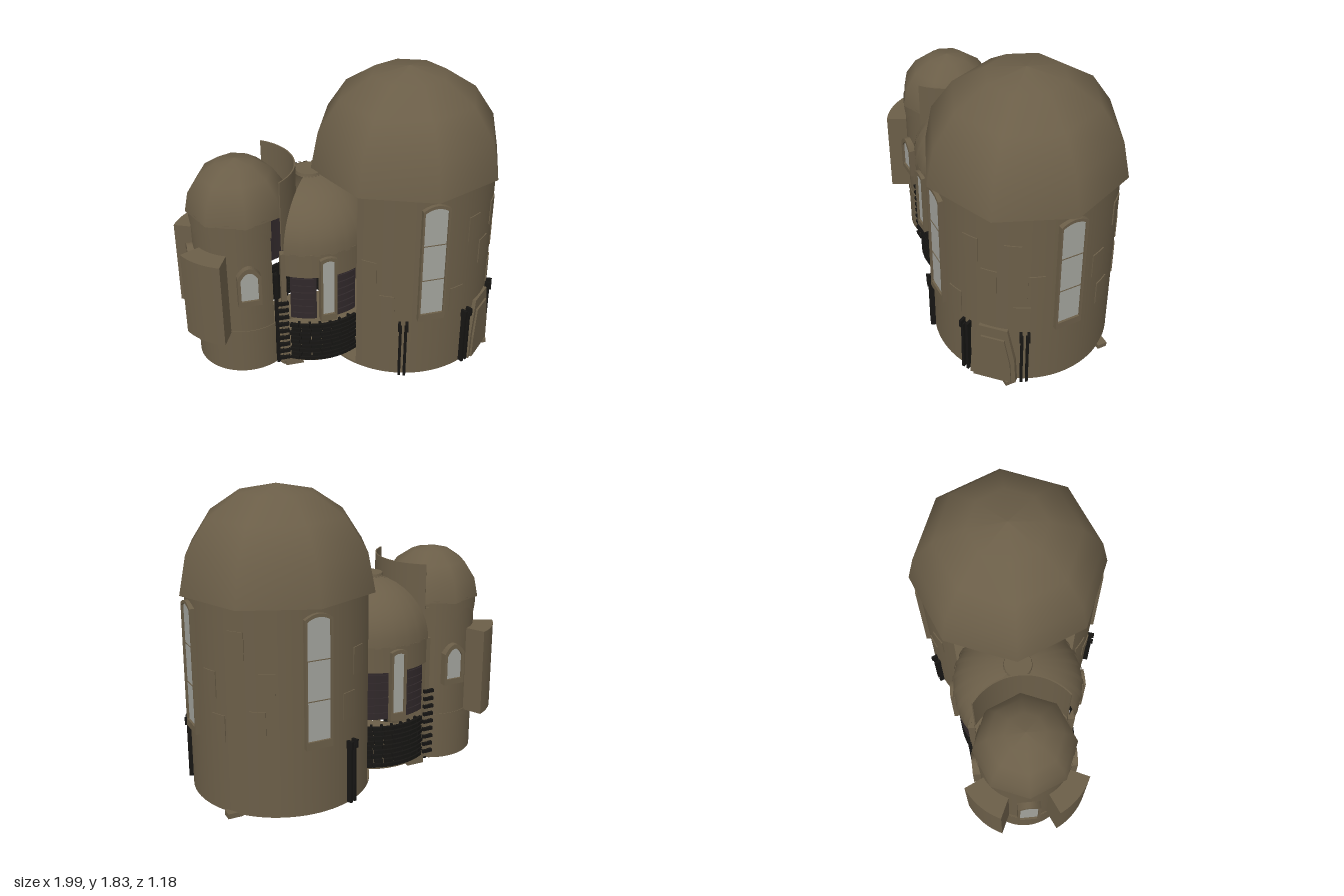
import * as THREE from 'three';
import { toCreasedNormals } from 'three/addons/utils/BufferGeometryUtils.js';

const D = Math.PI / 180;
const mat = (name, color, side = THREE.FrontSide) => {
  const m = new THREE.MeshStandardMaterial({ color, side });
  m.name = name;
  return m;
};
const stone = mat('brown stone', 0x6b5e48, THREE.DoubleSide);
const glass = mat('pale glass', 0xa3a49d);
const shutterMat = mat('dark shutter', 0x30282a);
const iron = mat('black iron', 0x161513);

function add(parent, name, geo, material = stone, x = 0, y = 0, z = 0) {
  const m = new THREE.Mesh(geo, material);
  m.name = name;
  m.position.set(x, y, z);
  parent.add(m);
  return m;
}
const box = (w, h, d) => new THREE.BoxGeometry(w, h, d);

// Open curved wall; azimuth 0 faces +z, 90 faces +x
const wall = (r, y0, y1, a0, a1, seg = 48) =>
  new THREE.CylinderGeometry(r, r, y1 - y0, seg, 1, true, a0 * D, (a1 - a0) * D).translate(0, (y0 + y1) / 2, 0);

// Solid block following a ring
function ring(r0, r1, y0, y1, a0, a1, seg = 10) {
  const s = new THREE.Shape(), b = a0 * D - Math.PI / 2, e = a1 * D - Math.PI / 2;
  s.absarc(0, 0, r1, b, e, false);
  s.absarc(0, 0, r0, e, b, true);
  const g = new THREE.ExtrudeGeometry(s, { depth: y1 - y0, bevelEnabled: false, curveSegments: seg });
  return toCreasedNormals(g.rotateX(-Math.PI / 2).translate(0, y0, 0), 0.6);
}

// Dome section swept between two azimuths
function dome(r, h, y, rings, seg, a0 = 0, a1 = 360) {
  const pts = [];
  for (let i = 0; i <= rings; i++) {
    const t = (i / rings) * Math.PI / 2;
    pts.push(new THREE.Vector2(Math.max(r * Math.cos(t), 0.0001), y + h * Math.sin(t)));
  }
  return new THREE.LatheGeometry(pts, seg, a0 * D, (a1 - a0) * D);
}

// Group turned so that its +z points along an azimuth
function turned(parent, name, az) {
  const g = new THREE.Group();
  g.name = name;
  g.rotation.y = az * D;
  parent.add(g);
  return g;
}

function arch(S, w, y0, y1, rise) {
  const s = new S();
  s.moveTo(-w, y0);
  s.lineTo(w, y0);
  s.lineTo(w, y1 - rise);
  s.quadraticCurveTo(0, y1 + rise, -w, y1 - rise);
  s.closePath();
  return s;
}

// Framed arched window set on a wall of radius r
function windowAt(parent, name, az, r, w, y0, y1, rise, rim, sill, bars = []) {
  const g = turned(parent, name, az);
  const s = arch(THREE.Shape, w, y0, y1, rise);
  s.holes.push(arch(THREE.Path, w - rim, y0 + sill, y1 - rim * 1.6, rise * 0.8));
  add(g, 'windowFrame', new THREE.ExtrudeGeometry(s, { depth: 0.05, bevelEnabled: false }), stone, 0, 0, r - 0.028);
  const p = arch(THREE.Shape, w - rim, y0 + sill, y1 - rim * 1.6, rise * 0.8);
  add(g, 'windowGlass', new THREE.ExtrudeGeometry(p, { depth: 0.006, bevelEnabled: false }), glass, 0, 0, r + 0.003);
  for (const y of bars) add(g, 'windowBar', box(2 * (w - rim), 0.005, 0.006), stone, 0, y, r + 0.009);
}

// Thin band whose lower edge is scalloped
function scallops(r, top, low, high, a0, a1, n) {
  const g = wall(r, 0, 1, a0, a1, n * 8), p = g.attributes.position, uv = g.attributes.uv;
  for (let i = 0; i < p.count; i++) {
    const edge = low + (high - low) * Math.abs(Math.sin(uv.getX(i) * n * Math.PI));
    p.setY(i, p.getY(i) > 0.5 ? top : edge);
  }
  return g;
}

function bigTower() {
  const g = new THREE.Group();
  g.name = 'bigTower';
  g.position.x = 0.405;
  add(g, 'bigWall', wall(0.54, 0.02, 1.245, -48.6, 228.6, 64));
  add(g, 'bigFloor', new THREE.CylinderGeometry(0.54, 0.54, 0.012, 64), stone, 0, 0.026, 0);
  add(g, 'footPlate', new THREE.CylinderGeometry(0.235, 0.235, 0.02, 40), stone, 0.05, 0.01, -0.04);
  for (const s of [-1, 1]) add(g, 'smallFoot', box(0.09, 0.03, 0.06), stone, 0.43, 0.015, s * 0.44 * 0.72);
  add(g, 'bigDome', dome(0.59, 0.585, 1.24, 4, 8));
  for (const az of [0, 90, 180]) windowAt(g, 'tallWindow', az, 0.54, 0.082, 0.43, 1.21, 0.03, 0.012, 0.045, [0.71, 0.945]);

  // Shallow raised wall panels
  const panels = [[-40, 0.65], [-28, 0.43], [18, 0.45], [30, 0.9], [42, 0.7], [56, 0.9], [62, 0.45], [70, 0.68],
    [112, 0.7], [118, 0.45], [132, 0.95], [144, 0.5], [150, 0.72], [203, 0.55], [212, 0.8]];
  for (const [az, y] of panels) add(g, 'wallPanel', ring(0.53, 0.546, y, y + 0.16, az - 5, az + 5, 4));

  // Door surround between the posts
  const door = turned(g, 'doorSurround', 45);
  const outline = (k) => [[-0.14, 0.02], [0.14, 0.02], [0.13, 0.2], [0.085, 0.43], [-0.085, 0.43], [-0.13, 0.2]]
    .map(([x, y]) => new THREE.Vector2(x * k, y * k + (1 - k) * 0.02));
  add(door, 'doorFrame', new THREE.ExtrudeGeometry(new THREE.Shape(outline(1)), { depth: 0.045, bevelEnabled: false }), stone, 0, 0, 0.51);
  add(door, 'doorPanel', new THREE.ExtrudeGeometry(new THREE.Shape(outline(0.82)), { depth: 0.012, bevelEnabled: false }), stone, 0, 0, 0.555);

  // Paired iron posts with flared heads
  for (const az of [-17, 27, 64, 204]) {
    const post = turned(g, 'ironPost', az);
    for (const s of [-1, 1]) {
      add(post, 'postBar', box(0.016, 0.36, 0.04), iron, s * 0.016, 0.205, 0.55);
      add(post, 'postHead', box(0.016, 0.05, 0.05), iron, s * 0.022, 0.39, 0.555);
    }
  }
  return g;
}

function smallTower() {
  const g = new THREE.Group();
  g.name = 'smallTower';
  g.position.x = -0.63;
  add(g, 'lowerWall', wall(0.287, 0.05, 0.33, 148, 392));
  add(g, 'upperWall', wall(0.28, 0.34, 1.08, 148, 392));
  add(g, 'ledge', ring(0.26, 0.284, 0.325, 0.345, 148, 392, 40));
  add(g, 'smallFloor', new THREE.CylinderGeometry(0.285, 0.285, 0.012, 48), stone, 0, 0.056, 0);
  add(g, 'smallDome', dome(0.305, 0.305, 1.065, 4, 8));
  add(g, 'upperScallops', scallops(0.288, 1.07, 0.95, 1.02, 148, 392, 7));
  add(g, 'lowerScallops', scallops(0.291, 0.33, 0.24, 0.31, 148, 392, 7));
  for (const az of [0, 180]) windowAt(g, 'archedWindow', az, 0.295, 0.07, 0.55, 0.81, 0.06, 0.018, 0.035);
  windowAt(g, 'sideWindow', -90, 0.295, 0.07, 0.42, 0.84, 0.05, 0.015, 0.035);
  // Curved buttresses beside the side window
  for (const s of [-1, 1]) add(g, 'buttress', ring(0.275, 0.407, 0.335, 0.88, -90 + s * 45 - 20, -90 + s * 45 + 20));
  // Tall curved screen facing the middle hall
  add(g, 'curvedScreen', ring(0.338, 0.346, 0.88, 1.325, 36, 144, 24));
  // Low curved steps towards the hall
  for (let i = 0; i < 4; i++) for (const s of [-1, 1])
    add(g, 'step', ring(0.28, 0.345, 0.05 + i * 0.025, 0.07 + i * 0.025, 90 + s * (50 - i * 11) - 6, 90 + s * (50 - i * 11) + 6, 4));
  return g;
}

function middleHall() {
  const g = new THREE.Group();
  g.name = 'middleHall';
  g.position.x = -0.195;
  add(g, 'hallDome', dome(0.39, 0.355, 0.88, 10, 48, -36, 216));
  add(g, 'hallCap', new THREE.CylinderGeometry(0.08, 0.085, 0.02, 24), stone, 0, 1.236, 0);
  add(g, 'hallDrum', ring(0.365, 0.39, 0.73, 0.885, -36, 216, 48));
  add(g, 'hallFloor', new THREE.CylinderGeometry(0.36, 0.36, 0.012, 48), stone, 0, 0.105, 0);

  for (const side of [0, 180]) {
    const half = turned(g, side ? 'backHalf' : 'frontHalf', side);
    windowAt(half, 'narrowWindow', side ? -2 : 2, 0.39, 0.05, 0.43, 0.87, 0.015, 0.014, 0.045);
    for (const az of [-33, -20, -7, 7, 20, 33]) add(half, 'domeRib', dome(0.398, 0.361, 0.88, 10, 3, az - 2.5, az + 2.5));
    // Shutters with slats either side of the window
    for (const s of [-1, 1]) {
      add(half, 'shutter', ring(0.365, 0.374, 0.43, 0.73, s * 20 - 12, s * 20 + 12));
      half.children[half.children.length - 1].material = shutterMat;
      for (let i = 0; i < 6; i++) {
        const slat = add(half, 'shutterSlat', ring(0.372, 0.382, 0.435 + i * 0.048, 0.473 + i * 0.048, s * 20 - 10, s * 20 + 10), shutterMat);
        slat.name = 'shutterSlat' + (s < 0 ? 'Right' : 'Left');
      }
    }
    // Black railing of short overlapping boards
    for (let row = 0; row < 9; row++) for (let col = 0; col < 7; col++) {
      const az = -29 + col * 9.5 + (row % 2) * 1.5;
      const bar = turned(half, 'railingRow', az);
      add(bar, 'railingBoard', box(0.052 + ((row * 3 + col * 5) % 4) * 0.004, 0.022, 0.02), iron, 0, 0.13 + row * 0.03, 0.372);
    }
    for (let col = 0; col < 6; col++) {
      const post = turned(half, 'railingPostMount', -25 + col * 10);
      add(post, 'railingPost', box(0.014, 0.28, 0.016), iron, 0, 0.25, 0.36);
    }
  }
  // Corner piers and rungs where the hall meets the small tower
  for (const s of [-1, 1]) {
    add(g, 'cornerPier', box(0.03, 0.78, 0.04), stone, -0.235, 0.49, s * 0.3);
    add(g, 'pierFoot', box(0.11, 0.06, 0.06), stone, -0.18, 0.08, s * 0.27);
    add(g, 'cornerRail', box(0.02, 0.65, 0.025), iron, -0.272, 0.38, s * 0.25);
    for (let i = 0; i < 9; i++) add(g, 'rung', box(0.065, 0.02, 0.02), iron, -0.245, 0.14 + i * 0.05, s * 0.325);
  }
  return g;
}

export function createModel() {
  const model = new THREE.Group();
  model.name = 'domedBuilding';
  model.add(bigTower(), smallTower(), middleHall());
  return model;
}
